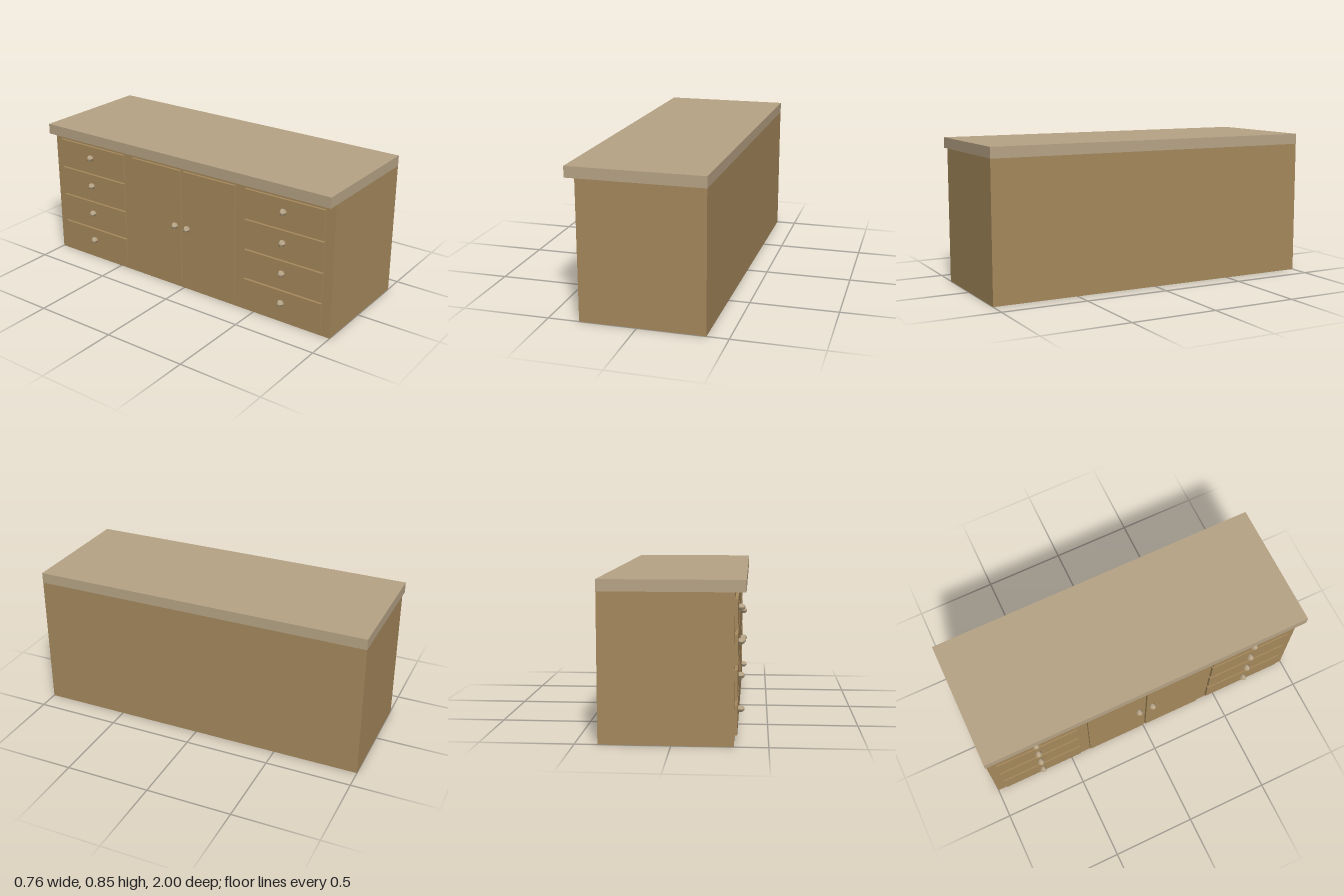
import * as THREE from 'three';

export function createModel() {
  const model = new THREE.Group();
  model.name = 'sideboard';

  const wood = new THREE.MeshStandardMaterial({ color: 0xa6895d });
  wood.name = 'brown wood';
  const pale = new THREE.MeshStandardMaterial({ color: 0xb7a486 });
  pale.name = 'pale beige';

  // Box given by its minimum and maximum corners
  function box(name, min, max, material) {
    const size = max.map((v, i) => v - min[i]);
    const mesh = new THREE.Mesh(new THREE.BoxGeometry(...size), material);
    mesh.position.set(...max.map((v, i) => (v + min[i]) / 2));
    mesh.name = name;
    model.add(mesh);
  }

  // Cabinet body and the worktop overhanging the drawer side
  const faceX = -0.322, panelX = -0.338;
  box('cabinetBody', [faceX, 0, -1], [0.379, 0.791, 1], wood);
  box('worktop', [-0.38, 0.791, -1], [0.38, 0.853, 1], pale);

  // Six-sided rounded knob, turned around the x axis
  const profile = [];
  for (let i = 0; i <= 10; i++) {
    const a = -Math.PI / 2 + (Math.PI * i) / 10;
    profile.push(new THREE.Vector2(Math.max(0, 0.0197 * Math.cos(a)), 0.022 * Math.sin(a)));
  }
  const knobGeometry = new THREE.LatheGeometry(profile, 6).rotateZ(Math.PI / 2).toNonIndexed();
  knobGeometry.computeVertexNormals();

  function knob(name, y, z) {
    const mesh = new THREE.Mesh(knobGeometry, pale);
    mesh.position.set(-0.35, y, z);
    mesh.name = name;
    model.add(mesh);
  }

  // Mirrored halves: four drawers and one door each
  const bottom = 0.043, top = 0.753, pitch = 0.1837, drawerHeight = 0.156;
  for (const side of [-1, 1]) {
    const panel = (name, y0, y1, a, b) => {
      const [z0, z1] = side > 0 ? [a, b] : [-b, -a];
      box(name, [panelX, y0, z0], [faceX, y1, z1], wood);
    };
    for (let i = 0; i < 4; i++) {
      const y = top - drawerHeight - pitch * i;
      panel('drawerFront', y, y + drawerHeight, 0.44, 0.945);
      knob('drawerKnob', 0.683 - pitch * i, side * 0.695);
    }
    panel('door', bottom, top, 0.01, 0.372);
    knob('doorKnob', 0.407, side * 0.044);
  }

  return model;
}
